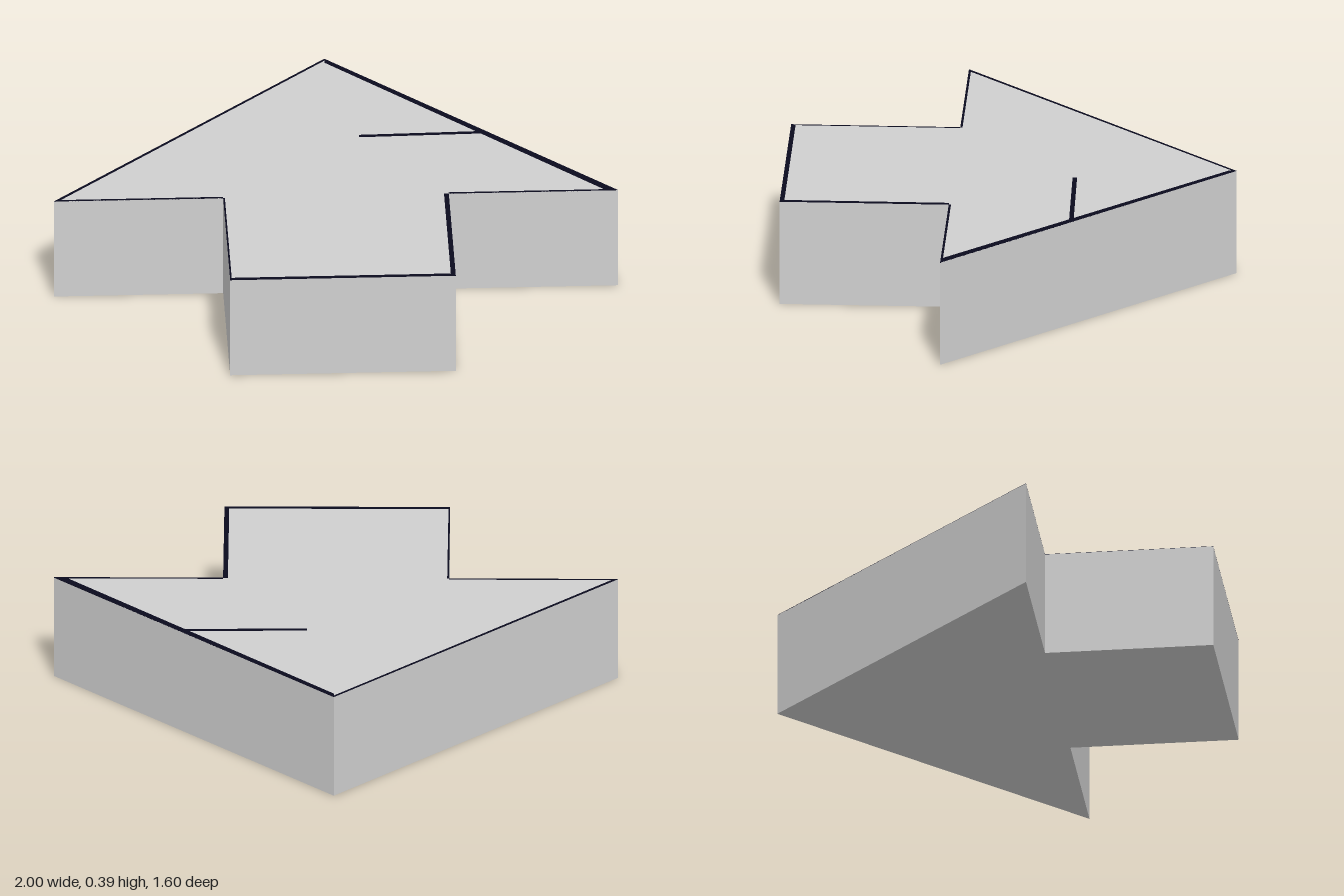
import * as THREE from 'three';

const HEIGHT = 0.385;

// Extrudes an outline of [x, z] points downwards from the given top height
function slab(points, top, depth) {
  const shape = new THREE.Shape(points.map(([x, z]) => new THREE.Vector2(x, z)));
  const geometry = new THREE.ExtrudeGeometry(shape, { depth, bevelEnabled: false });
  geometry.rotateX(Math.PI / 2);
  geometry.translate(0, top, 0);
  return geometry;
}

export function createModel() {
  const group = new THREE.Group();
  const grey = new THREE.MeshStandardMaterial({ color: 0xd0d0d0 });
  grey.name = 'light grey';
  const ink = new THREE.MeshStandardMaterial({ color: 0x0a0a1e });
  ink.name = 'dark ink';

  const add = (name, points, top, depth, material) => {
    const mesh = new THREE.Mesh(slab(points, top, depth), material);
    mesh.name = name;
    group.add(mesh);
  };

  // Solid arrow pointing to the back
  const outline = [
    [0, -0.8], [1, 0.2], [0.4, 0.2], [0.4, 0.8],
    [-0.4, 0.8], [-0.4, 0.2], [-1, 0.2],
  ];
  add('arrowBody', outline, HEIGHT, HEIGHT, grey);

  // Thin painted lines along the rim of the top face
  const lines = {
    leftHeadLine: [[0, -0.8], [1, 0.2], [0.96, 0.2], [0, -0.772]],
    rightHeadLine: [[0, -0.8], [0, -0.788], [-0.985, 0.2], [-1, 0.2]],
    leftBarbLine: [[0.4, 0.192], [0.99, 0.192], [1, 0.2], [0.4, 0.2]],
    rightBarbLine: [[-0.4, 0.192], [-0.99, 0.192], [-1, 0.2], [-0.4, 0.2]],
    leftShaftLine: [[0.383, 0.2], [0.4, 0.2], [0.4, 0.8], [0.383, 0.8]],
    rightShaftLine: [[-0.4, 0.2], [-0.394, 0.2], [-0.394, 0.8], [-0.4, 0.8]],
    shaftEndLine: [[-0.394, 0.784], [0.383, 0.784], [0.383, 0.8], [-0.394, 0.8]],
    // Short stroke running in from the head's edge
    innerStroke: [[0.1, -0.24], [0.54, -0.25], [0.54, -0.234], [0.1, -0.224]],
  };
  for (const [name, points] of Object.entries(lines)) {
    add(name, points, HEIGHT + 0.001, 0.002, ink);
  }
  return group;
}
